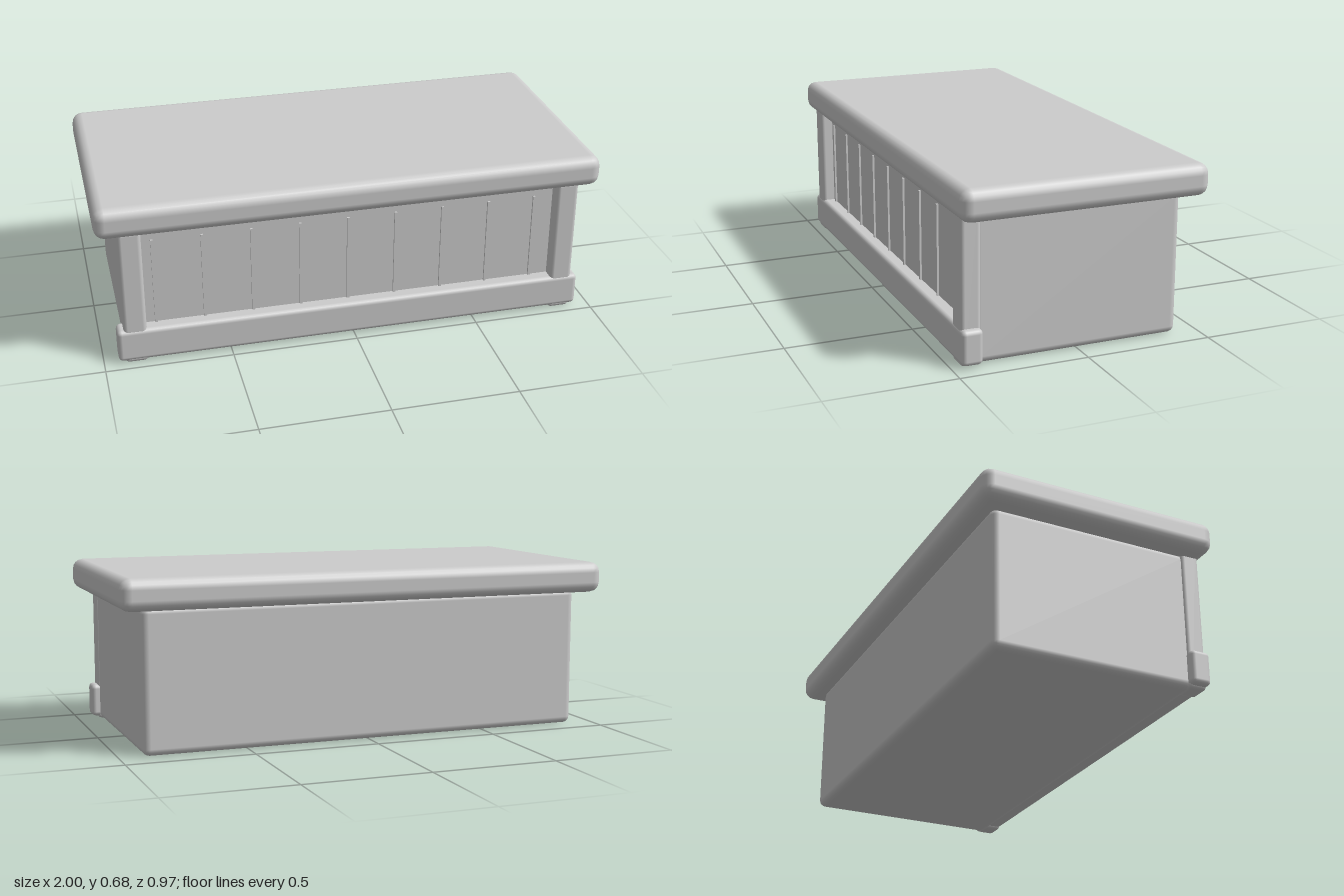
import * as THREE from 'three';
import { RoundedBoxGeometry } from 'three/addons/geometries/RoundedBoxGeometry.js';

export function createModel() {
  const group = new THREE.Group();
  const grey = new THREE.MeshStandardMaterial({ color: 0xcccccc });
  grey.name = 'plain grey';

  // Softly bevelled block given by its minimum and maximum corners
  function block(name, [x0, y0, z0], [x1, y1, z1], radius) {
    const geometry = new RoundedBoxGeometry(x1 - x0, y1 - y0, z1 - z0, 2, radius);
    const mesh = new THREE.Mesh(geometry, grey);
    mesh.name = name;
    mesh.position.set((x0 + x1) / 2, (y0 + y1) / 2, (z0 + z1) / 2);
    group.add(mesh);
  }

  // Main cabinet and overhanging top
  block('cabinet', [-0.91, 0, -0.412], [0.91, 0.565, 0.412], 0.028);
  block('countertop', [-1, 0.553, -0.486], [1, 0.677, 0.486], 0.042);

  // Board along the foot of the front
  block('baseboard', [-0.943, 0.01, 0.385], [0.943, 0.145, 0.467], 0.018);

  // Front corner posts
  for (const side of [-1, 1]) {
    const x = side * 0.872;
    block(side > 0 ? 'leftPost' : 'rightPost', [x - 0.045, 0, 0.385], [x + 0.045, 0.57, 0.463], 0.016);
  }

  // Thin vertical battens dividing the front panel
  for (let i = 0; i < 9; i++) {
    const batten = new THREE.Mesh(new THREE.BoxGeometry(0.01, 0.44, 0.02), grey);
    batten.name = 'batten' + (i + 1);
    batten.position.set(-0.785 + i * 0.1917, 0.285, 0.41);
    group.add(batten);
  }

  return group;
}
